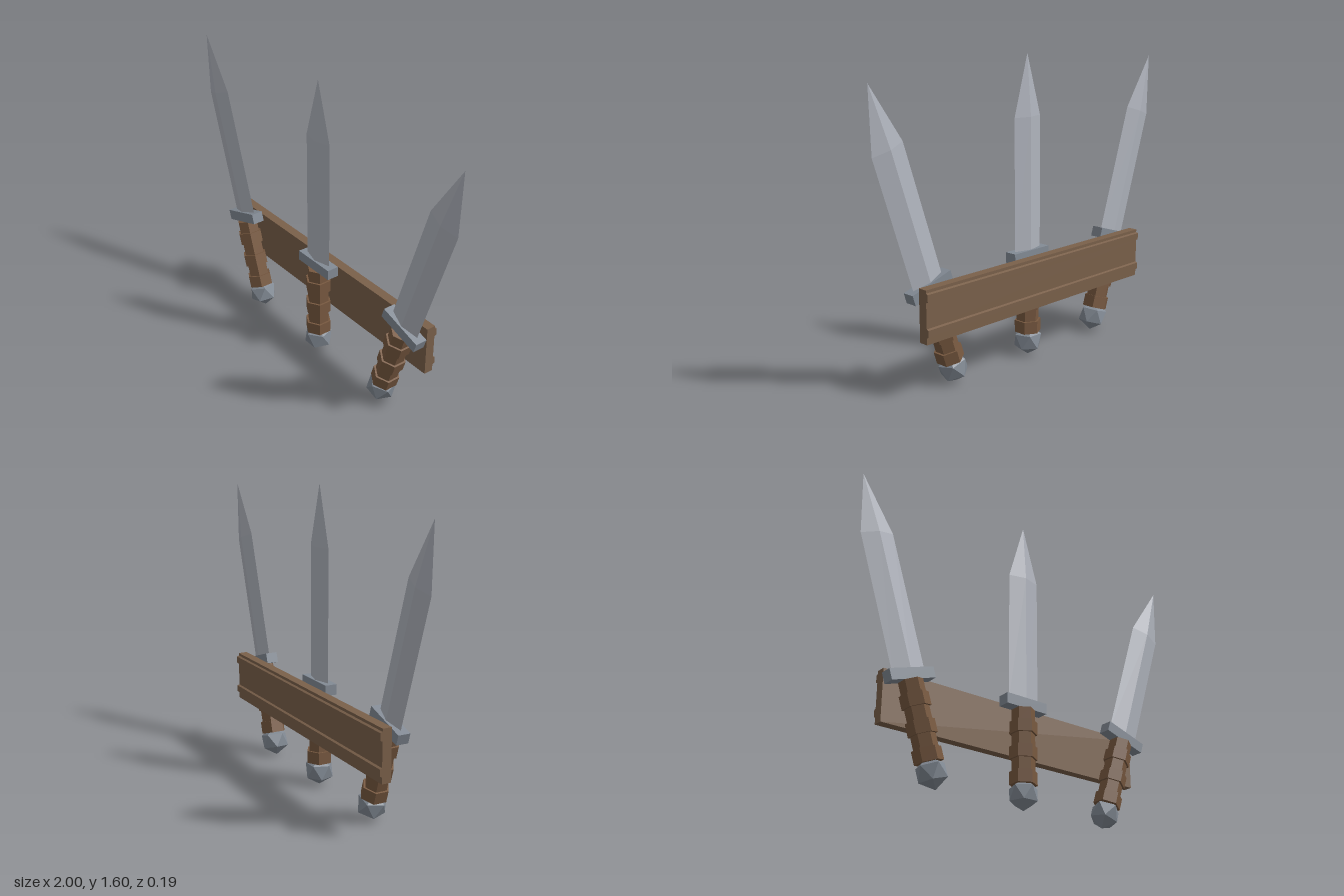
import * as THREE from 'three';

const flat = (name, color) => {
  const m = new THREE.MeshStandardMaterial({ color, flatShading: true });
  m.name = name;
  return m;
};

export function createModel() {
  const steel = flat('bladeSteel', 0xb0b4bd);
  const iron = flat('darkIron', 0x838b95);
  const leather = flat('gripLeather', 0x785940);
  const wood = flat('boardWood', 0x7a604a);

  const root = new THREE.Group();
  root.name = 'swordRack';

  const add = (parent, name, geometry, material, y = 0) => {
    const mesh = new THREE.Mesh(geometry, material);
    mesh.name = name;
    mesh.position.y = y;
    parent.add(mesh);
    return mesh;
  };

  // One sword, with its origin at the pommel centre and its blade along +y
  function createSword(name) {
    const sword = new THREE.Group();
    sword.name = name;

    // Faceted pommel standing on a corner
    const pommel = new THREE.IcosahedronGeometry(0.081, 0);
    pommel.rotateZ(Math.atan(2 / (1 + Math.sqrt(5))));
    pommel.rotateY(Math.PI / 2);
    add(sword, 'pommel', pommel, iron);

    // Six-sided grip of alternating thick and thin wraps
    const wrap = 0.066;
    for (let i = 0; i < 6; i++) {
      const r = i % 2 === 0 ? 0.071 : 0.06;
      add(sword, i % 2 === 0 ? 'gripBand' : 'gripCore',
        new THREE.CylinderGeometry(r, r, wrap, 6), leather, 0.049 + wrap * (i + 0.5));
    }

    // Crossguard
    add(sword, 'crossguard', new THREE.BoxGeometry(0.25, 0.056, 0.066), iron, 0.473);

    // Diamond-section blade and its point
    const blade = new THREE.CylinderGeometry(1, 1, 0.72, 4, 1);
    blade.scale(0.093, 1, 0.025);
    add(sword, 'blade', blade, steel, 0.839);
    const point = new THREE.ConeGeometry(1, 0.32, 4, 1, true);
    point.scale(0.093, 1, 0.025);
    add(sword, 'bladePoint', point, steel, 1.359);
    return sword;
  }

  // Middle sword upright, outer swords fanned outwards
  for (const [name, side] of [['rightSword', -1], ['middleSword', 0], ['leftSword', 1]]) {
    const sword = createSword(name);
    sword.position.set(side * 0.535, 0.082, 0.022);
    sword.rotation.z = -side * THREE.MathUtils.degToRad(17.8);
    root.add(sword);
  }

  // Backboard: side profile (depth behind the front face, height) with two rear rails
  const profile = new THREE.Shape([
    [0, 0.29], [0.05, 0.29], [0.05, 0.325], [0.062, 0.33], [0.062, 0.365], [0.05, 0.37],
    [0.05, 0.498], [0.062, 0.503], [0.062, 0.54], [0.05, 0.545], [0.05, 0.56], [0, 0.56],
  ].map(([d, y]) => new THREE.Vector2(d, y)));
  const board = new THREE.ExtrudeGeometry(profile, { depth: 1.574, bevelEnabled: false });
  board.translate(0, 0, -0.787);
  board.rotateY(Math.PI / 2);
  add(root, 'backboard', board, wood).position.z = -0.033;

  return root;
}
